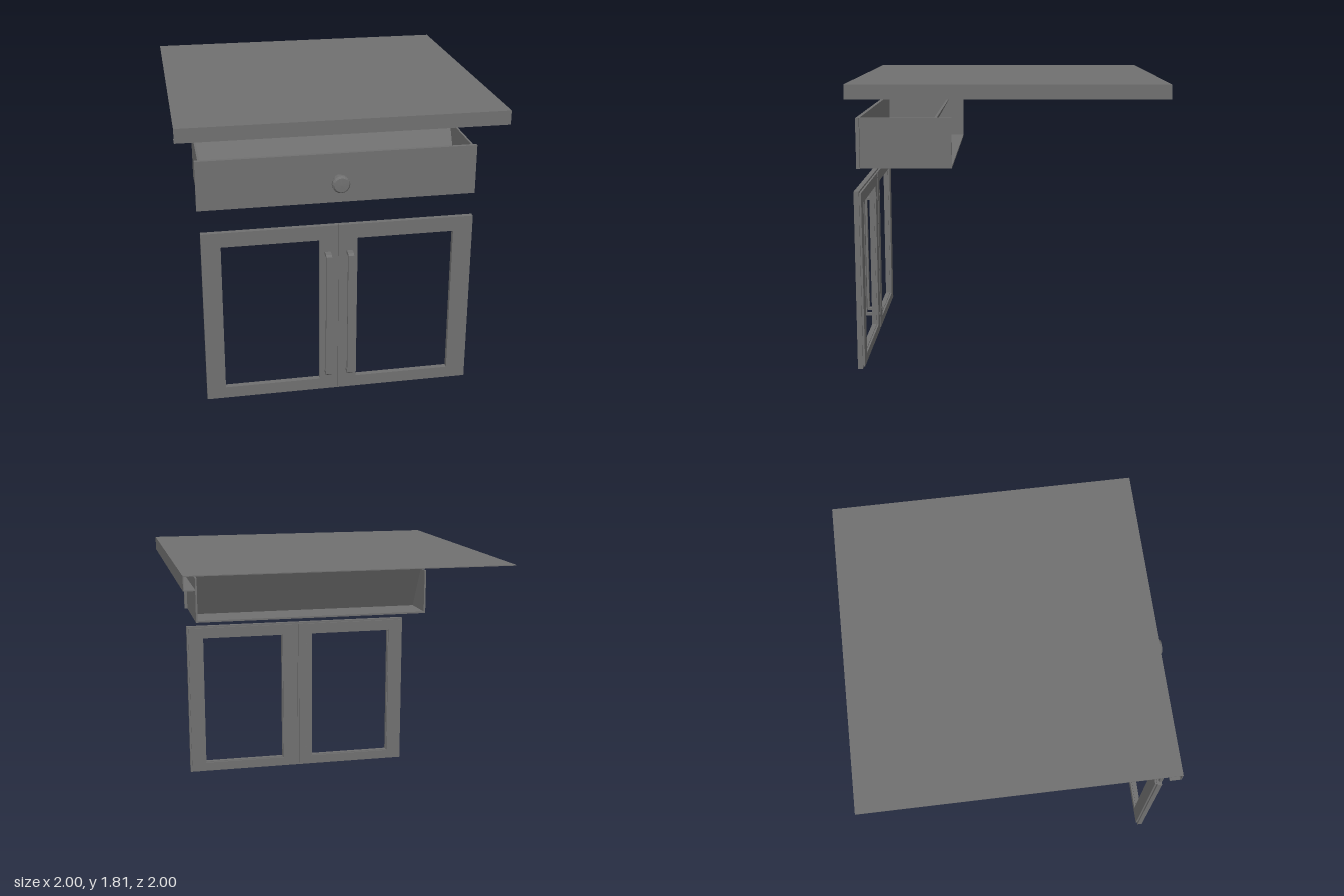
import * as THREE from 'three';

const grey = new THREE.MeshStandardMaterial({ color: 0x707070 });
grey.name = 'grey';

function add(parent, name, geometry) {
  const mesh = new THREE.Mesh(geometry, grey);
  mesh.name = name;
  parent.add(mesh);
  return mesh;
}

// box given by its minimum and maximum corners
function box(parent, name, [x0, y0, z0], [x1, y1, z1]) {
  const g = new THREE.BoxGeometry(x1 - x0, y1 - y0, z1 - z0);
  g.translate((x0 + x1) / 2, (y0 + y1) / 2, (z0 + z1) / 2);
  return add(parent, name, g);
}

function polygon(points) {
  return new THREE.Shape(points.map(p => new THREE.Vector2(...p)));
}

const rect = (x0, y0, x1, y1) => [[x0, y0], [x1, y0], [x1, y1], [x0, y1]];

// profile in (z, y), extruded along x and centred on the given x
function sideExtrude(parent, name, points, width, x) {
  const g = new THREE.ExtrudeGeometry(polygon(points), { depth: width, bevelEnabled: false });
  g.rotateY(-Math.PI / 2).translate(x + width / 2, 0, 0);
  return add(parent, name, g);
}

// thin worktop with a folded lip on the front and on one side
function createWorktop() {
  const top = new THREE.Group();
  top.name = 'worktop';
  const t = 0.005, w = 0.07, y0 = 1.72, y1 = 1.808, zf = 0.917;
  box(top, 'worktopSheet', [-1, y1 - t, -1], [1, y1, zf]);
  box(top, 'frontLip', [-1, y0, zf - t], [1, y1 - t, zf]);
  box(top, 'sideLip', [1 - t, y0, -1], [1, y1 - t, zf - t]);
  box(top, 'frontFlange', [-1, y0, zf - w], [1 - t, y0 + t, zf - t]);
  box(top, 'sideFlange', [1 - w, y0, -1], [1 - t, y0 + t, zf - w]);
  return top;
}

// open drawer with a leaning back panel
function createDrawer() {
  const drawer = new THREE.Group();
  drawer.name = 'drawer';
  const y0 = 1.28, y1 = 1.59, back = 0.3, front = 0.86, left = 0.79, right = -0.87, t = 0.012;
  box(drawer, 'drawerFront', [-0.89, y0, front], [0.81, y1, 0.882]);
  box(drawer, 'drawerFloor', [right, y0, back], [left, y0 + t, front]);
  box(drawer, 'drawerRightSide', [right, y0 + t, back], [right + t, y1, front]);
  box(drawer, 'drawerLeftSide', [left - t, y0 + t, back], [left, y1, front]);
  sideExtrude(drawer, 'drawerBack',
    [[0.56, y0 + t], [0.575, y0 + t], [0.405, y1], [0.39, y1]],
    left - right - 2 * t, (left + right) / 2);
  return drawer;
}

// turned knob in front of the drawer
function createKnob() {
  const profile = [[0, 0], [0.034, 0], [0.034, 0.045], [0.044, 0.045], [0.054, 0.056],
    [0.054, 0.08], [0.044, 0.093], [0, 0.095]].map(p => new THREE.Vector2(...p));
  const g = new THREE.LatheGeometry(profile, 16).toNonIndexed();
  g.computeVertexNormals();
  g.rotateX(Math.PI / 2).translate(-0.042, 1.432, 0.905);
  const knob = new THREE.Group();
  add(knob, 'knob', g);
  return knob;
}

// frame with a window opening, stepped in slightly at the rear edge
function createDoor(name, x0, x1, hole0, hole1, handleX) {
  const door = new THREE.Group();
  door.name = name;
  const layer = (part, inset, z0, z1) => {
    const shape = polygon(rect(x0 + inset, inset, x1 - inset, 1.138 - inset));
    shape.holes.push(polygon(rect(hole0 - inset / 2, 0.075 - inset / 2, hole1 + inset / 2, 1.045 + inset / 2)));
    const g = new THREE.ExtrudeGeometry(shape, { depth: z1 - z0, bevelEnabled: false });
    add(door, part, g.translate(0, 0, z0));
  };
  layer('doorFrame', 0, 0.872, 0.904);
  layer('doorRearFrame', 0.012, 0.86, 0.872);

  // bar handle with cut corners
  const zIn = 0.904, zOut = 0.962, lo = 0.126, hi = 0.966, t = 0.018, c = 0.012;
  sideExtrude(door, 'handle', [
    [zIn, lo], [zOut - c, lo], [zOut, lo + c], [zOut, hi - c], [zOut - c, hi], [zIn, hi],
    [zIn, hi - t], [zOut - t, hi - t], [zOut - t, lo + t], [zIn, lo + t]], 0.036, handleX);

  // screw heads behind the handle
  for (const y of [lo + t / 2, hi - t / 2]) {
    const g = new THREE.CylinderGeometry(0.013, 0.013, 0.004, 10);
    add(door, 'handleScrew', g.rotateX(Math.PI / 2).translate(handleX, y, 0.859));
  }
  return door;
}

export function createModel() {
  const model = new THREE.Group();
  model.name = 'cabinetFront';
  model.add(
    createWorktop(),
    createDrawer(),
    createKnob(),
    createDoor('rightDoor', -0.875, -0.041, -0.757, -0.157, -0.108),
    createDoor('leftDoor', -0.039, 0.8, 0.078, 0.678, 0.028),
  );
  return model;
}
